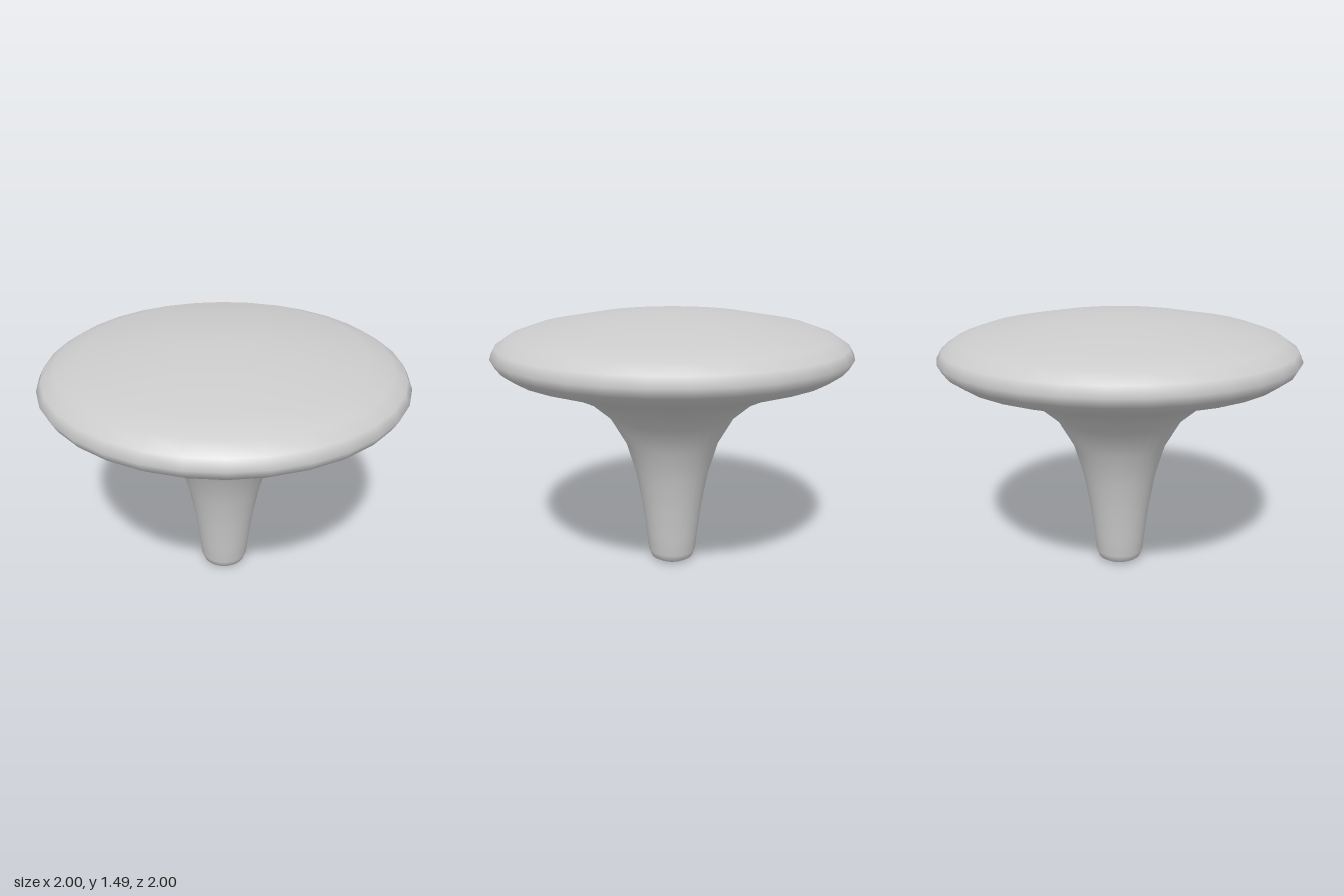
import * as THREE from 'three';

// Turned mushroom-shaped knob: one smooth profile revolved around y
export function createModel() {
  const group = new THREE.Group();
  group.name = 'knob';

  const profile = [
    // foot
    [0, 0], [0.1, 0.005], [0.125, 0.02], [0.14, 0.06],
    // flaring stem
    [0.151, 0.17], [0.175, 0.35], [0.21, 0.54], [0.267, 0.73], [0.36, 0.89],
    // underside of the cap
    [0.49, 1.0], [0.64, 1.07], [0.9, 1.155],
    // rounded rim
    [0.972, 1.205], [1, 1.255], [0.972, 1.307], [0.9, 1.355],
    // shallow dome
    [0.77, 1.4], [0.46, 1.455], [0.2, 1.48], [0, 1.486],
  ].map(([r, y]) => new THREE.Vector2(r, y));

  const body = new THREE.Mesh(
    new THREE.LatheGeometry(profile, 32),
    new THREE.MeshStandardMaterial({ color: 0xcccccc })
  );
  body.name = 'knobBody';
  group.add(body);
  return group;
}
